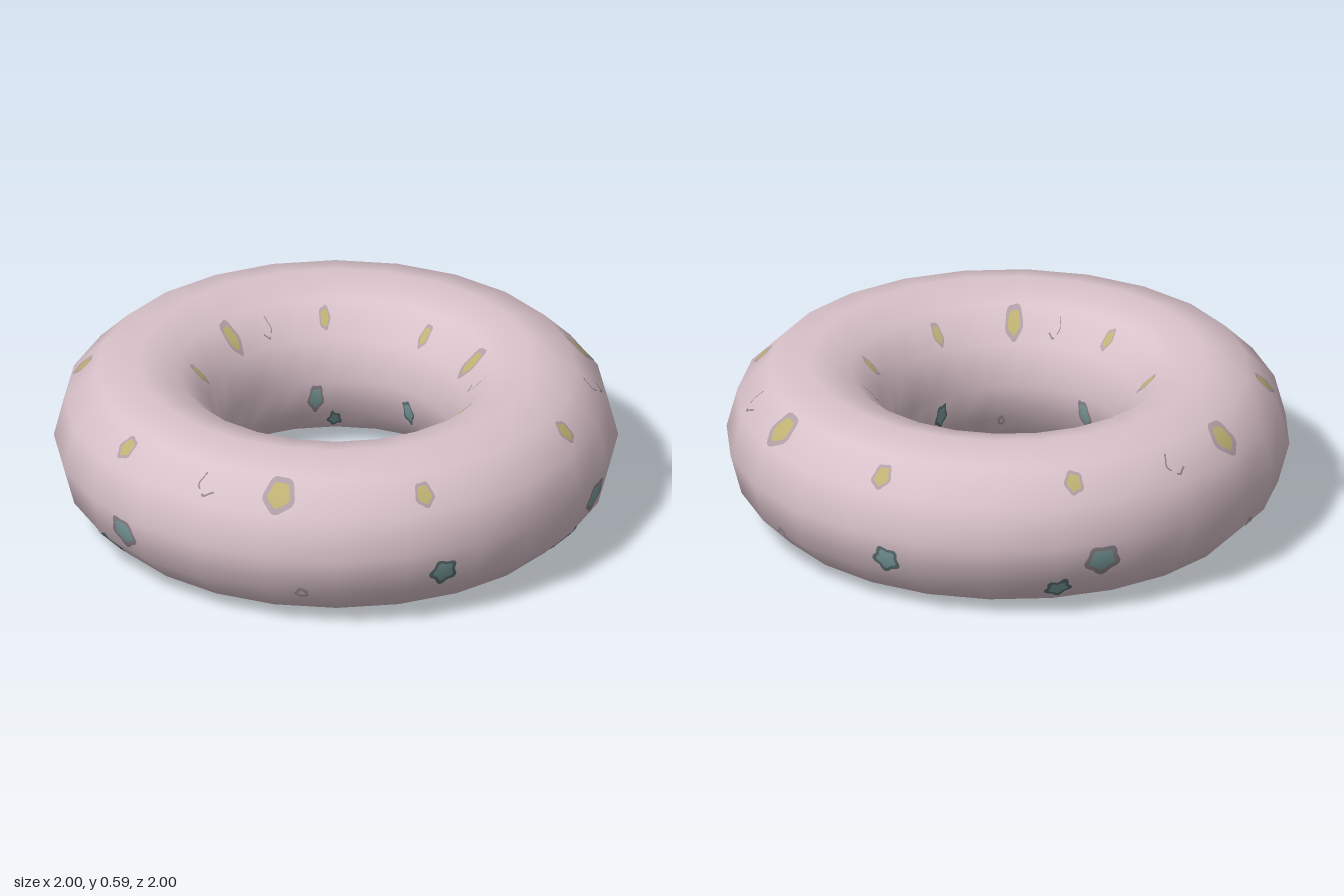
import * as THREE from 'three';

const R = 0.705, r = 0.295, RING_SIDES = 24, TUBE_SIDES = 12;
const rad = THREE.MathUtils.degToRad;

const flat = (name, hex) => {
  const m = new THREE.MeshStandardMaterial({ color: hex });
  m.name = name;
  return m;
};

// Point on the smooth ring at angle u around it and v around its tube (degrees)
function ringPoint(u, v) {
  const a = rad(u), b = rad(v), d = R + r * Math.cos(b);
  return new THREE.Vector3(d * Math.cos(a), r + r * Math.sin(b), d * Math.sin(a));
}

// The same point on the faceted ring, by blending the corners of its facet
function facetPoint(u, v) {
  const du = 360 / RING_SIDES, dv = 360 / TUBE_SIDES;
  const u0 = Math.floor(u / du) * du, v0 = Math.floor(v / dv) * dv;
  const s = (u - u0) / du, t = (v - v0) / dv;
  const low = ringPoint(u0, v0).lerp(ringPoint(u0 + du, v0), s);
  const high = ringPoint(u0, v0 + dv).lerp(ringPoint(u0 + du, v0 + dv), s);
  return low.lerp(high, t);
}

function ringNormal(u, v) {
  const a = rad(u), b = rad(v);
  return new THREE.Vector3(Math.cos(b) * Math.cos(a), Math.sin(b), Math.cos(b) * Math.sin(a));
}

// Painted patch hugging the ring, between two fractions of a wavy oval
function patch({ u, v, w, h, wave, phase }, from, to, inner, t0 = 0, t1 = 360) {
  const rings = 4, steps = 40, pos = [], nor = [], idx = [];
  for (let i = 0; i <= rings; i++) {
    const f = from + (to - from) * i / rings;
    for (let j = 0; j <= steps; j++) {
      const t = rad(t0 + (t1 - t0) * j / steps);
      const k = f * (1 + wave * Math.cos(5 * t + phase));
      const pu = u + w * k * Math.cos(t);
      let pv = v + h * k * Math.sin(t);
      if (inner) pv = 180 - pv;
      const n = ringNormal(pu, pv);
      pos.push(...facetPoint(pu, pv).addScaledVector(n, 0.003).toArray());
      nor.push(...n.toArray());
      if (i < rings && j < steps) {
        const a = i * (steps + 1) + j, b = a + 1, c = a + steps + 1, d = c + 1;
        if (inner) idx.push(a, c, b, b, c, d);
        else idx.push(a, b, c, b, d, c);
      }
    }
  }
  const g = new THREE.BufferGeometry();
  g.setAttribute('position', new THREE.Float32BufferAttribute(pos, 3));
  g.setAttribute('normal', new THREE.Float32BufferAttribute(nor, 3));
  g.setIndex(idx);
  return g;
}

export function createModel() {
  const pink = flat('pale pink', 0xd9c2ca);
  const yellow = flat('muted yellow', 0xbfb173);
  const mauve = flat('mauve grey', 0xb09fa6);
  const teal = flat('soft teal', 0x7fa1a2);
  const slate = flat('dark slate', 0x5f7275);
  const grey = flat('warm grey', 0x8f858a);

  const model = new THREE.Group();
  model.name = 'ring';
  const add = (parent, geo, mat, name) => {
    const m = new THREE.Mesh(geo, mat);
    m.name = name;
    parent.add(m);
  };

  // Ring body
  const body = new THREE.TorusGeometry(R, r, TUBE_SIDES, RING_SIDES);
  body.rotateX(-Math.PI / 2).translate(0, r, 0);
  add(model, body, pink, 'ringBody');

  // One third of the spot pattern: angles and half sizes in degrees
  const spots = [
    { name: 'largeYellowSpot', u: 58, v: 46, w: 3.6, h: 14, wave: 0.06, phase: 1, core: 0.68, fill: yellow, rim: mauve },
    { name: 'smallYellowSpot', u: 25, v: 43, w: 2.2, h: 9.5, wave: 0.08, phase: 2, core: 0.72, fill: yellow, rim: mauve },
    { name: 'middleYellowSpot', u: 100.5, v: 46, w: 2.2, h: 9, wave: 0.08, phase: 0, core: 0.72, fill: yellow, rim: mauve },
    { name: 'largeTealSpot', u: 95.5, v: -14, w: 3.7, h: 12, wave: 0.1, phase: 1.57, core: 0.7, fill: teal, rim: grey },
    { name: 'lowTealSpot', u: 104.5, v: -40, w: 2.9, h: 12.5, wave: 0.15, phase: 2.5, core: 0.68, fill: teal, rim: slate },
    { name: 'sideTealSpot', u: 22, v: -18, w: 2.9, h: 10, wave: 0.13, phase: 0.6, core: 0.72, fill: teal, rim: slate },
    { name: 'paleSpot', u: 52.5, v: -31, w: 1.5, h: 6, wave: 0.08, phase: 0, core: 0.5, fill: pink, rim: mauve },
  ];
  const curl = { u: 75, v: 45, w: 2.4, h: 9, wave: 0.08, phase: 1 };

  // Pattern repeats three times round, mirrored on the inner wall
  for (const inner of [false, true]) {
    for (let k = 0; k < 3; k++) {
      const group = new THREE.Group();
      group.name = (inner ? 'innerSpots' : 'outerSpots') + (k + 1);
      for (const spot of spots) {
        const s = { ...spot, u: spot.u + 120 * k };
        add(group, patch(s, s.core, 1, inner), s.rim, s.name + 'Rim');
        add(group, patch(s, 0, s.core, inner), s.fill, s.name);
      }
      const c = { ...curl, u: curl.u + 120 * k };
      add(group, patch(c, 0.85, 1, inner, -40, 60), grey, 'curlMark');
      add(group, patch(c, 0.82, 1, inner, 215, 290), grey, 'curlMarkTail');
      model.add(group);
    }
  }
  return model;
}
